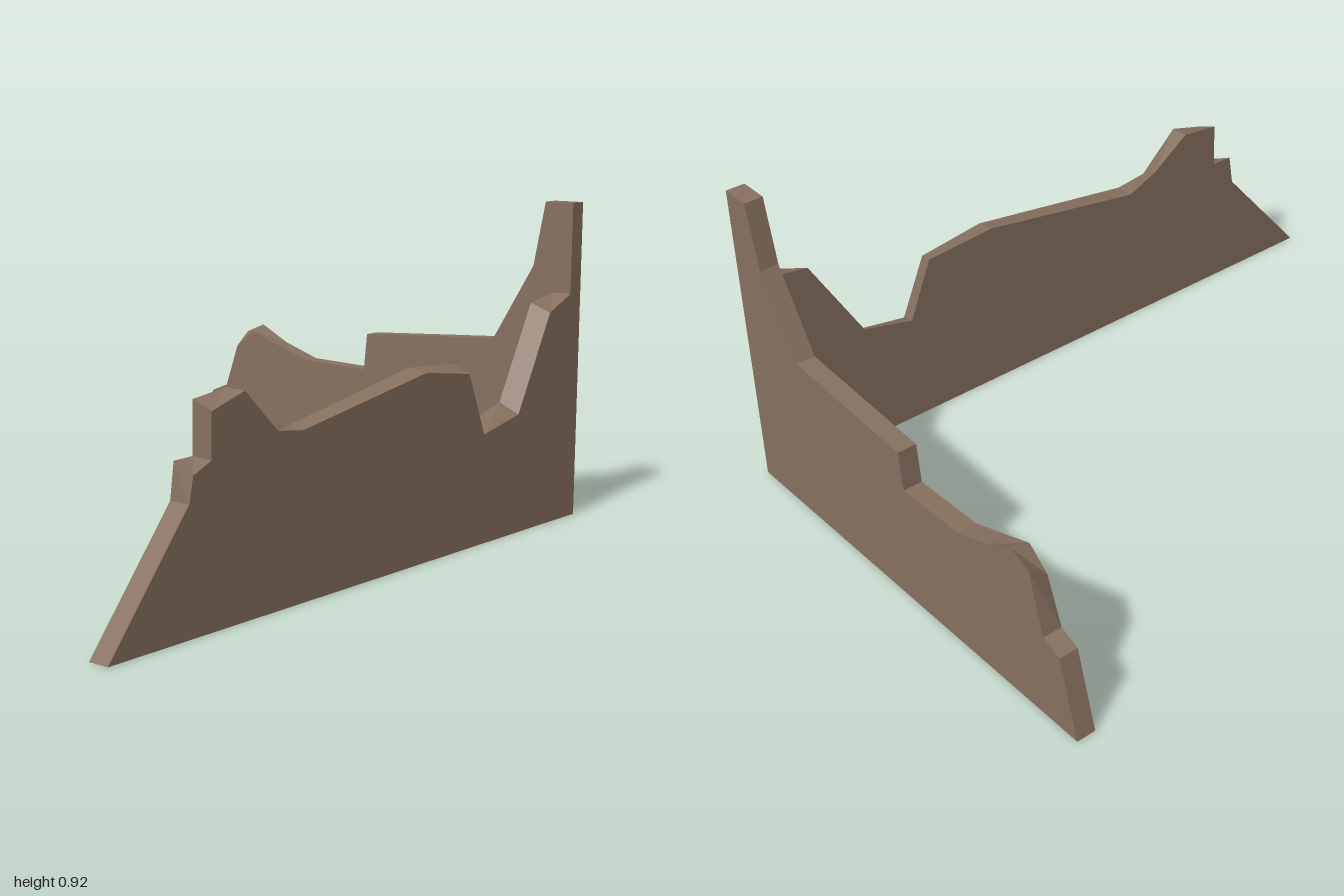
import * as THREE from 'three';

// Wall slab between two matching outlines (lists of [u, y], counter-clockwise):
// the far one at z = 0 and the near one at z = depth.
function slab(far, near, depth) {
  const pos = [];
  const add = (...pts) => pts.forEach(p => pos.push(...p));
  const at = (p, z) => [p[0], p[1], z];
  const triangles = o => THREE.ShapeUtils.triangulateShape(o.map(p => new THREE.Vector2(...p)), []);

  // broad faces
  for (const [a, b, c] of triangles(near)) add(at(near[a], depth), at(near[b], depth), at(near[c], depth));
  for (const [a, b, c] of triangles(far)) add(at(far[c], 0), at(far[b], 0), at(far[a], 0));

  // rim
  for (let i = 0; i < near.length; i++) {
    const j = (i + 1) % near.length;
    const a = at(far[i], 0), b = at(far[j], 0), c = at(near[j], depth), d = at(near[i], depth);
    add(a, b, c, a, c, d);
  }
  const geometry = new THREE.BufferGeometry();
  geometry.setAttribute('position', new THREE.Float32BufferAttribute(pos, 3));
  geometry.computeVertexNormals();
  return geometry;
}

export function createModel() {
  const model = new THREE.Group();
  model.name = 'ruinedCornerWall';
  const stone = new THREE.MeshStandardMaterial({ color: 0x877160 });
  stone.name = 'brownStone';

  // Back wall: broken top edge from left end to the tall corner
  const backNear = [
    [-0.7, 0], [-0.645, 0.23], [-0.585, 0.255], [-0.54, 0.39], [-0.475, 0.445], [-0.375, 0.41],
    [-0.255, 0.37], [-0.025, 0.363], [-0.015, 0.476], [0.445, 0.505], [0.575, 0.73],
    [0.61, 0.918], [0.7, 0.918], [0.7, 0],
  ];
  const backFar = backNear.map(p => [...p]);
  backFar[3][1] = 0.433;
  backFar[4][1] = 0.461;
  const backWall = new THREE.Mesh(slab(backFar.reverse(), backNear.reverse(), 0.055), stone);
  backWall.name = 'backWall';
  backWall.position.z = -1;

  // Side wall: outlines run along -z, from the low front tip to the corner
  const sideOuter = [
    [-1, 0], [-0.728, 0.32], [-0.714, 0.385], [-0.65, 0.41], [-0.65, 0.525], [-0.53, 0.558],
    [-0.405, 0.445], [-0.305, 0.433], [0.22, 0.512], [0.425, 0.485], [0.505, 0.308],
    [0.68, 0.34], [0.835, 0.613], [0.945, 0.657], [0.945, 0],
  ];
  const sideInner = [
    [-1, 0], [-0.728, 0.32], [-0.716, 0.412], [-0.65, 0.413], [-0.65, 0.547], [-0.53, 0.56],
    [-0.405, 0.475], [-0.305, 0.433], [0.22, 0.52], [0.44, 0.505], [0.515, 0.33],
    [0.672, 0.37], [0.825, 0.637], [0.945, 0.657], [0.945, 0],
  ];
  const sideWall = new THREE.Mesh(slab(sideInner.reverse(), sideOuter.reverse(), 0.058), stone);
  sideWall.name = 'sideWall';
  sideWall.rotation.y = Math.PI / 2;
  sideWall.position.x = 0.642;

  model.add(backWall, sideWall);
  return model;
}
